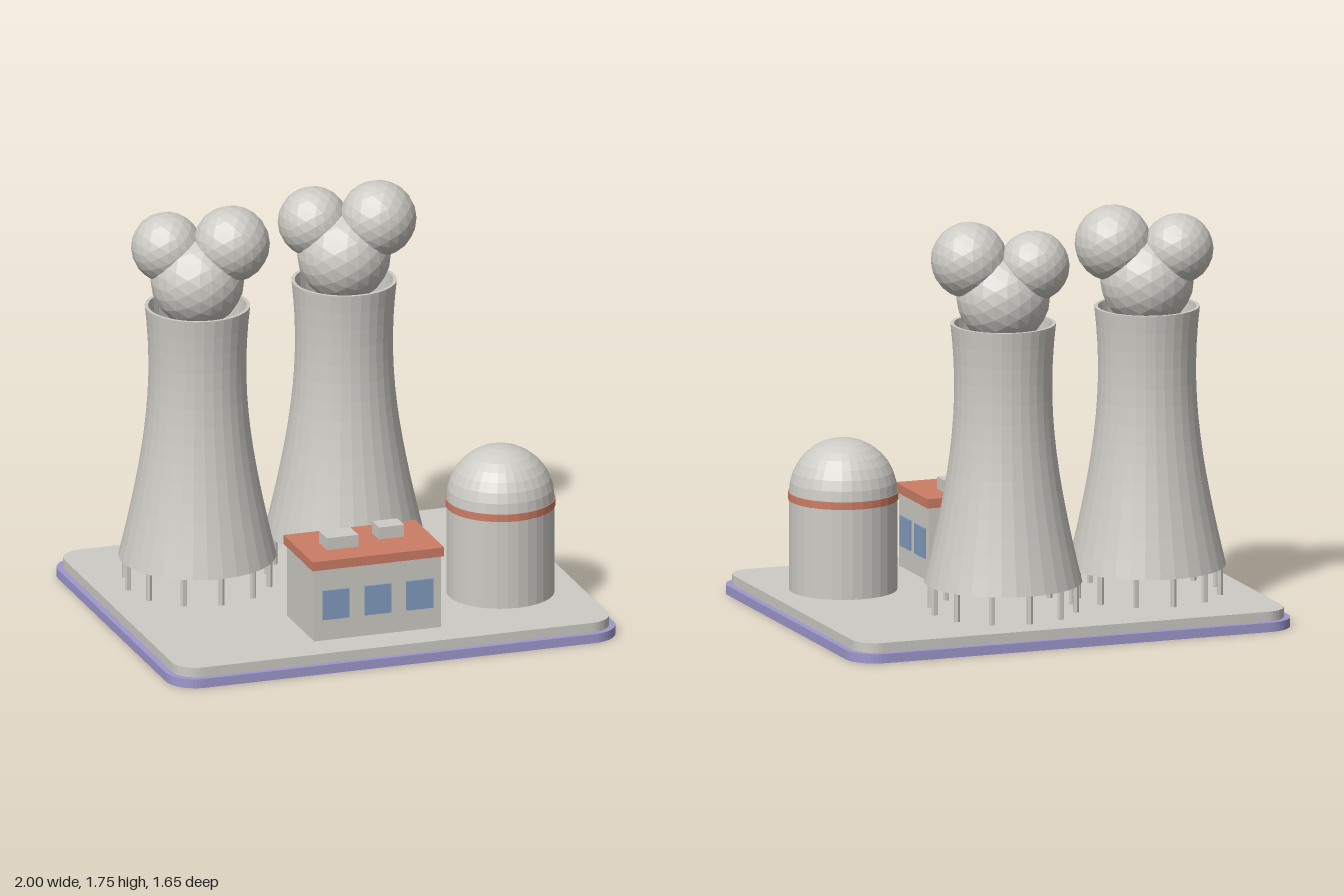
import * as THREE from 'three';

const flat = (name, color) => {
  const m = new THREE.MeshStandardMaterial({ color, flatShading: true });
  m.name = name;
  return m;
};

export function createModel() {
  const concrete = flat('concrete', 0xcdcbc5);
  const purple = flat('purple', 0x9f98cd);
  const terracotta = flat('terracotta', 0xcc7d65);
  const glass = flat('glass', 0x829cc0);

  const model = new THREE.Group();
  model.name = 'powerPlant';

  const add = (parent, name, geometry, material, x = 0, y = 0, z = 0) => {
    const mesh = new THREE.Mesh(geometry, material);
    mesh.name = name;
    mesh.position.set(x, y, z);
    parent.add(mesh);
    return mesh;
  };
  const group = (name, x, y, z) => {
    const g = new THREE.Group();
    g.name = name;
    g.position.set(x, y, z);
    model.add(g);
    return g;
  };
  const box = (w, h, d) => new THREE.BoxGeometry(w, h, d);

  // Rounded rectangular slab lying flat, from y = 0 up to y = h
  const slab = (hx, hz, r, h) => {
    const s = new THREE.Shape();
    s.absarc(hx - r, hz - r, r, 0, Math.PI / 2);
    s.absarc(-hx + r, hz - r, r, Math.PI / 2, Math.PI);
    s.absarc(-hx + r, -hz + r, r, Math.PI, Math.PI * 1.5);
    s.absarc(hx - r, -hz + r, r, Math.PI * 1.5, Math.PI * 2);
    return new THREE.ExtrudeGeometry(s, { depth: h, bevelEnabled: false, curveSegments: 6 })
      .rotateX(-Math.PI / 2);
  };
  add(model, 'basePlate', slab(1, 0.823, 0.13, 0.04), purple);
  add(model, 'ground', slab(0.973, 0.797, 0.105, 0.042), concrete, 0, 0.04, 0);

  // Hyperboloid shell with a thin wall, open at both ends
  const bottom = 0.205, top = 1.32, steps = 14, wall = 0.015;
  const radius = (y) => 0.207 * Math.sqrt(1 + ((y - 1.05) / 0.667) ** 2);
  const outer = [], inner = [];
  for (let i = 0; i <= steps; i++) {
    const y = bottom + ((top - bottom) * i) / steps;
    outer.push(new THREE.Vector2(radius(y), y));
    inner.unshift(new THREE.Vector2(radius(y) - wall, y));
  }
  const shell = new THREE.LatheGeometry([...outer, ...inner, outer[0].clone()], 32);
  const leg = new THREE.CylinderGeometry(0.013, 0.013, 0.135, 6);

  // Steam puffs: x, y, z, radius
  const puffs = [
    [0, 1.43, 0, 0.198],
    [-0.115, 1.57, -0.065, 0.15],
    [0.136, 1.592, 0.045, 0.163],
  ];

  const coolingTower = (name, x, z) => {
    const tower = group(name, x, 0, z);
    add(tower, 'towerShell', shell, concrete);
    for (let i = 0; i < 12; i++) {
      const a = (i * Math.PI) / 6;
      add(tower, 'towerLeg', leg, concrete, 0.311 * Math.sin(a), 0.1455, 0.311 * Math.cos(a))
        .rotation.y = a;
    }
    for (const [px, py, pz, r] of puffs) {
      add(tower, 'steamPuff', new THREE.IcosahedronGeometry(r, 3), concrete, px, py, pz);
    }
  };
  coolingTower('leftTower', 0.158, -0.353);
  coolingTower('rightTower', -0.534, -0.246);

  // Domed reactor with a coloured band
  const reactor = group('reactor', 0.636, 0, 0.284);
  add(reactor, 'reactorWall', new THREE.CylinderGeometry(0.229, 0.229, 0.41, 32), concrete, 0, 0.285, 0);
  add(reactor, 'reactorBand', new THREE.CylinderGeometry(0.233, 0.233, 0.032, 32), terracotta, 0, 0.487, 0);
  add(reactor, 'reactorDome',
    new THREE.SphereGeometry(0.229, 32, 8, 0, Math.PI * 2, 0, Math.PI / 2), concrete, 0, 0.503, 0);

  // Control building with roof, rooftop vents and windows
  const building = group('controlBuilding', -0.035, 0, 0.461);
  add(building, 'buildingWalls', box(0.566, 0.32, 0.35), concrete, 0, 0.24, 0);
  add(building, 'roof', box(0.588, 0.04, 0.372), terracotta, 0, 0.42, 0);
  add(building, 'largeVent', box(0.14, 0.06, 0.102), concrete, -0.115, 0.463, 0.007);
  add(building, 'smallVent', box(0.112, 0.06, 0.088), concrete, 0.123, 0.463, -0.044);
  for (const x of [-0.187, 0, 0.187]) {
    add(building, 'frontWindow', box(0.118, 0.13, 0.009), glass, x, 0.24, 0.1795);
  }
  for (const z of [-0.085, 0.085]) {
    add(building, 'sideWindow', box(0.009, 0.13, 0.118), glass, 0.2875, 0.24, z);
  }

  return model;
}
